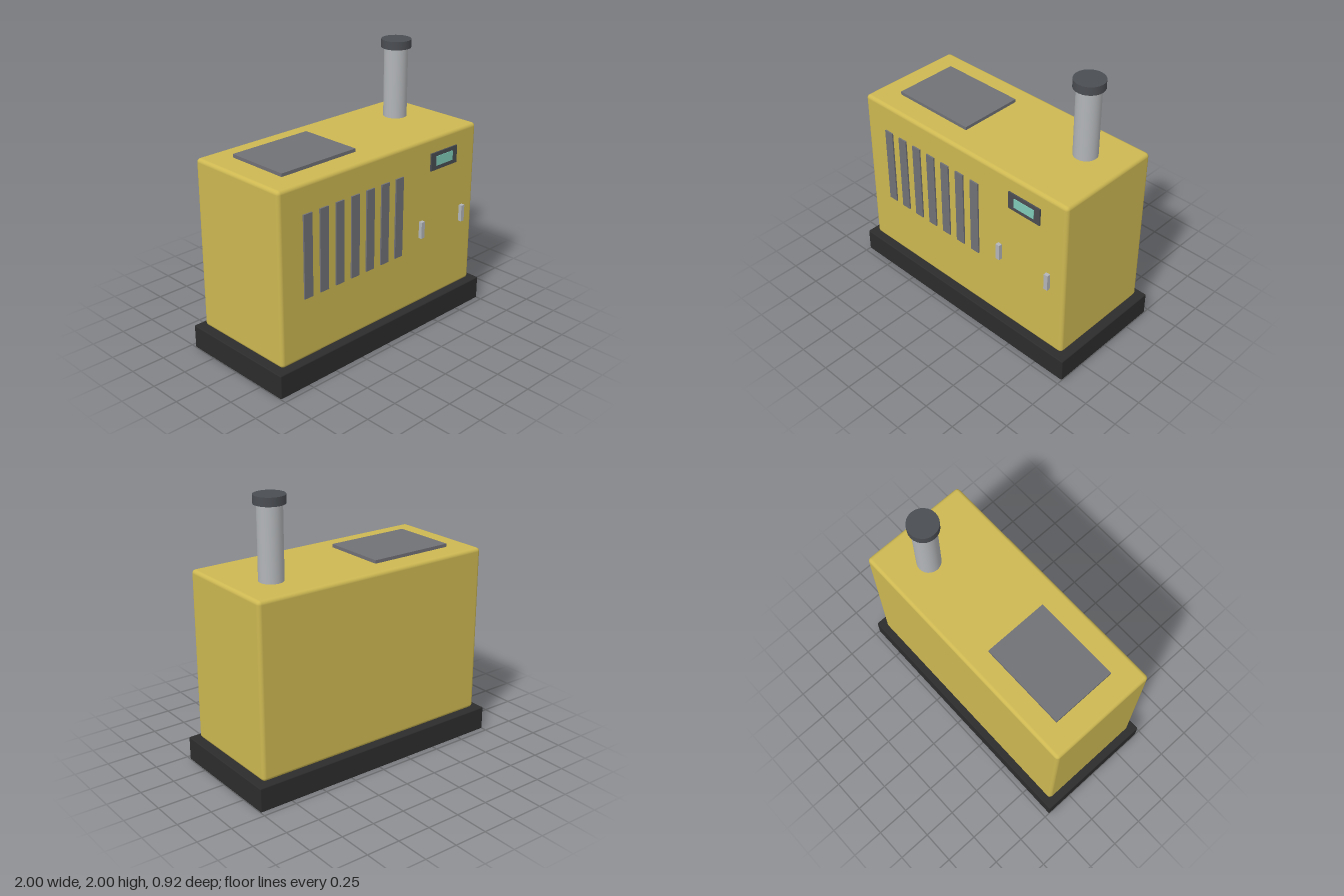
import * as THREE from 'three';
import { RoundedBoxGeometry } from 'three/addons/geometries/RoundedBoxGeometry.js';

export function createModel() {
  const model = new THREE.Group();
  model.name = 'generator';

  const paint = (name, color) => {
    const m = new THREE.MeshStandardMaterial({ color });
    m.name = name;
    return m;
  };
  const yellow = paint('yellow paint', 0xcdb852);
  const black = paint('black base', 0x2c2c2c);
  const grey = paint('grey vent', 0x707176);
  const dark = paint('dark metal', 0x4a4d52);
  const steel = paint('light steel', 0xb2b5b8);
  const teal = paint('teal screen', 0x7fcbb8);

  const add = (name, geometry, material, x, y, z) => {
    const mesh = new THREE.Mesh(geometry, material);
    mesh.name = name;
    mesh.position.set(x, y, z);
    model.add(mesh);
    return mesh;
  };
  const box = (name, material, w, h, d, x, y, z) =>
    add(name, new THREE.BoxGeometry(w, h, d), material, x, y, z);

  // Base skid and rounded housing
  add('base', new RoundedBoxGeometry(2, 0.176, 0.92, 2, 0.008), black, 0, 0.088, 0);
  add('housing', new RoundedBoxGeometry(1.885, 1.25, 0.82, 3, 0.027), yellow, 0, 0.803, 0);

  // Roof panel
  box('roofPanel', grey, 0.65, 0.03, 0.485, -0.435, 1.437, -0.005);

  // Exhaust stack and its cap
  add('exhaustPipe', new THREE.CylinderGeometry(0.086, 0.086, 0.56, 24), steel, 0.645, 1.68, -0.11);
  add('exhaustCap', new THREE.CylinderGeometry(0.108, 0.108, 0.06, 24), dark, 0.645, 1.97, -0.11);

  // Row of vertical vents on the front
  for (let i = 0; i < 7; i++) {
    box('vent' + (i + 1), grey, 0.073, 0.595, 0.02, -0.707 + i * 0.141, 0.923, 0.411);
  }

  // Control panel with screen
  box('controlPanel', dark, 0.272, 0.13, 0.02, 0.592, 1.247, 0.411);
  box('screen', teal, 0.17, 0.071, 0.006, 0.594, 1.248, 0.422);

  // Door handles
  for (const x of [0.373, 0.807]) {
    box('doorHandle', steel, 0.033, 0.125, 0.03, x, 0.763, 0.422);
  }

  return model;
}
